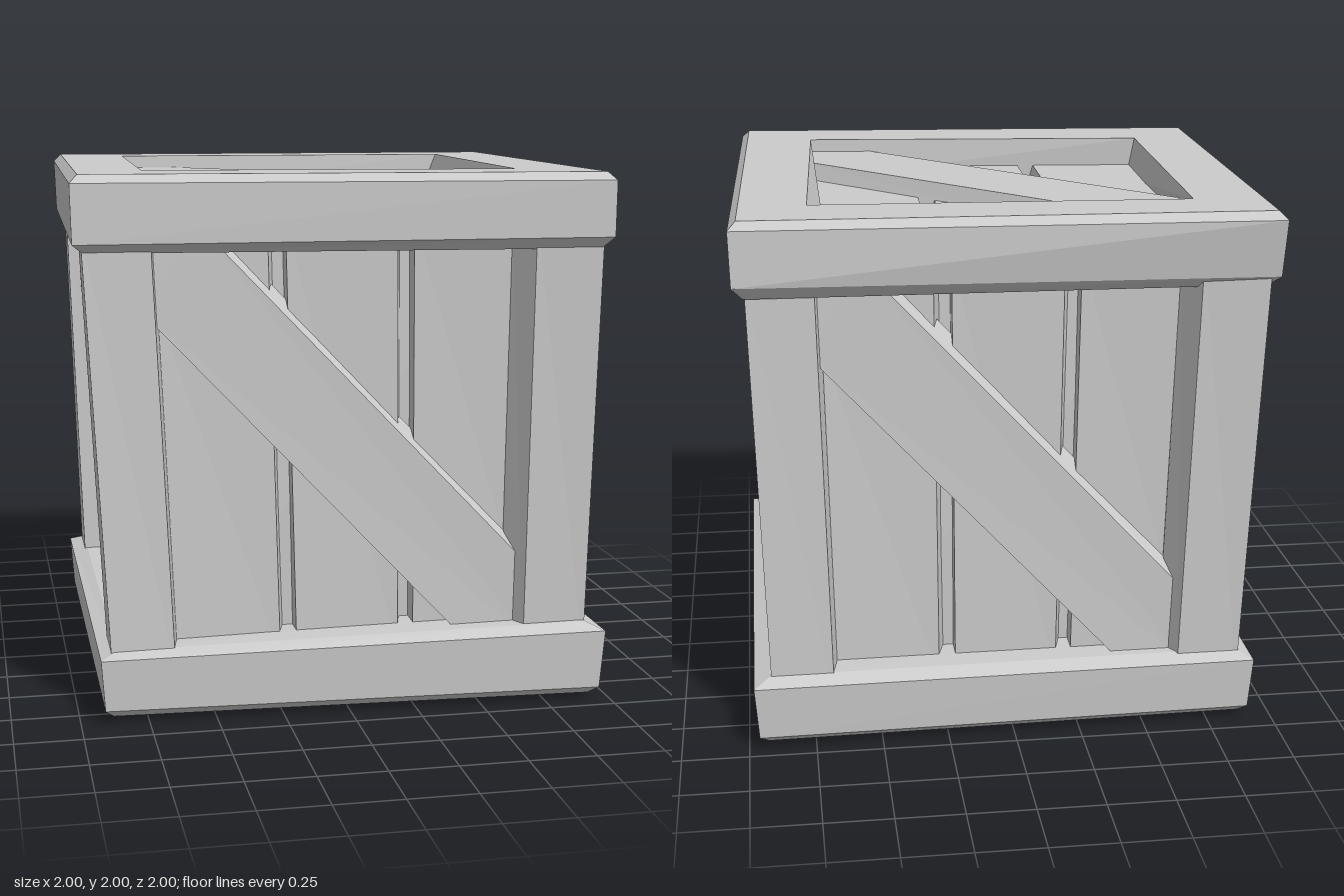
import * as THREE from 'three';

const mat = new THREE.MeshStandardMaterial({ color: 0xcccccc, flatShading: true });

// Crooked body outline as [x, z] corners: back -x, back +x, front +x, front -x
const BODY_LOW = [[-0.87, -0.89], [0.91, -0.91], [0.91, 0.885], [-0.885, 0.83]];
const BODY_HIGH = [[-0.91, -0.955], [0.95, -0.9], [0.92, 0.96], [-0.96, 0.82]];

// Bends a part of a regular cube (-1..1 on each axis) into the crooked body
function warp(geo) {
  const p = geo.attributes.position;
  for (let i = 0; i < p.count; i++) {
    const x = p.getX(i), y = p.getY(i), z = p.getZ(i);
    const t = (y + 0.72) / 1.44;
    const w = [(1 - x) * (1 - z), (1 + x) * (1 - z), (1 + x) * (1 + z), (1 - x) * (1 + z)];
    const at = (k) => w.reduce((sum, f, c) =>
      sum + f / 4 * (BODY_LOW[c][k] * (1 - t) + BODY_HIGH[c][k] * t), 0);
    p.setXYZ(i, at(0), y + 1, at(1));
  }
  geo.computeVertexNormals();
  return geo;
}

function extrude(points, depth) {
  const shape = new THREE.Shape(points.map(([x, y]) => new THREE.Vector2(x, y)));
  return new THREE.ExtrudeGeometry(shape, { depth, bevelEnabled: false });
}

// Extrudes an [x, z] outline upwards from -half to half
function upright(points, half) {
  return extrude(points.map(([x, z]) => [x, -z]), half * 2).rotateX(-Math.PI / 2).translate(0, -half, 0);
}

// Diagonal board whose long edges lean up and right towards the back
function braceBoard() {
  const outline = [[-0.8, 0.8], [-0.54, 0.8], [0.8, -0.52], [0.8, -0.8], [0.53, -0.8], [-0.8, 0.52]];
  const lean = new THREE.Matrix4().set(1, 0, -0.3, 0.285, 0, 1, -0.3, 0.285, 0, 0, 1, 0, 0, 0, 0, 1);
  return extrude(outline, 0.11).translate(0, 0, 0.84).applyMatrix4(lean);
}

// Square ring skinned over four-cornered loops: [corners, scale, y or y per corner]
function ringFrame(loops) {
  const rings = loops.map(([corners, s, y]) =>
    corners.map(([x, z], i) => [x * s, Array.isArray(y) ? y[i] : y, z * s]));
  const pos = [];
  for (let j = 0; j < rings.length - 1; j++) {
    for (let i = 0; i < 4; i++) {
      const n = (i + 1) % 4;
      const a = rings[j][i], b = rings[j][n], c = rings[j + 1][n], d = rings[j + 1][i];
      pos.push(...a, ...b, ...c, ...a, ...c, ...d);
    }
  }
  const geo = new THREE.BufferGeometry();
  geo.setAttribute('position', new THREE.Float32BufferAttribute(pos, 3));
  geo.computeVertexNormals();
  return geo;
}

export function createModel() {
  const crate = new THREE.Group();
  crate.name = 'crate';
  const add = (name, geo, parent = crate) => {
    const mesh = new THREE.Mesh(geo, mat);
    mesh.name = name;
    parent.add(mesh);
  };

  // Inner box closing the gaps between slats
  add('core', warp(new THREE.BoxGeometry(1.58, 1.58, 1.58)));

  // Corner posts with slanted inner sides
  const postOutline = [[1, 1], [0.735, 1], [0.67, 0.89], [0.67, 0.78], [0.78, 0.72], [0.89, 0.72], [1, 0.74]];
  for (let k = 0; k < 4; k++) {
    add('cornerPost', warp(upright(postOutline, 0.83).rotateY(k * Math.PI / 2)));
  }

  // Six panels, each with three slats and a diagonal brace
  const slats = [[-0.82, -0.285], [-0.215, 0.22], [0.285, 0.82]];
  const turns = [
    ['front', 0, 0], ['left', 0, 1], ['back', 0, 2], ['right', 0, 3], ['top', -1, 0], ['bottom', 1, 0],
  ];
  for (const [side, rx, ry] of turns) {
    const panel = new THREE.Group();
    panel.name = side + 'Panel';
    const turn = (g) => warp(g.rotateX(rx * Math.PI / 2).rotateY(ry * Math.PI / 2));
    for (const [a, b] of slats) {
      add('slat', turn(upright([[a, 0.885], [b, 0.885], [b + 0.035, 0.76], [a, 0.76]], 0.82)), panel);
    }
    add('brace', turn(braceBoard()), panel);
    crate.add(panel);
  }

  // Top frame: opening wall, top face, bevels, outer wall, underside
  const topOuter = [[-0.95, -1], [1, -0.94], [0.95, 1], [-1, 0.85]];
  const topLow = [[-0.945, -0.965], [0.995, -0.945], [0.95, 0.995], [-0.995, 0.85]];
  const topEdge = [[-0.67, -0.73], [0.72, -0.67], [0.66, 0.7], [-0.72, 0.57]];
  const topInner = [[-0.68, -0.72], [0.65, -0.67], [0.65, 0.69], [-0.69, 0.58]];
  add('topFrame', ringFrame([
    [topInner, 1, 1.83], [topEdge, 1, 2], [topOuter, 0.97, 2], [topOuter, 1, 1.97],
    [topLow, 1, [1.76, 1.77, 1.765, 1.755]], [topLow, 0.96, 1.722], [topLow, 0.7, 1.722],
  ]));

  // Bottom frame, the same in reverse
  const lowOuter = [[-0.92, -0.94], [0.975, -0.97], [0.97, 0.96], [-0.925, 0.88]];
  const lowInner = [[-0.66, -0.66], [0.66, -0.68], [0.66, 0.66], [-0.66, 0.62]];
  add('bottomFrame', ringFrame([
    [lowOuter, 0.7, [0.28, 0.28, 0.305, 0.27]], [lowOuter, 0.935, [0.275, 0.28, 0.3, 0.265]],
    [lowOuter, 1, [0.25, 0.255, 0.275, 0.245]], [lowOuter, 0.985, 0.05],
    [lowOuter, 0.95, 0.02], [lowInner, 1, [0.02, 0.02, 0.02, 0]], [lowInner, 1, 0.17],
  ]));

  return crate;
}
